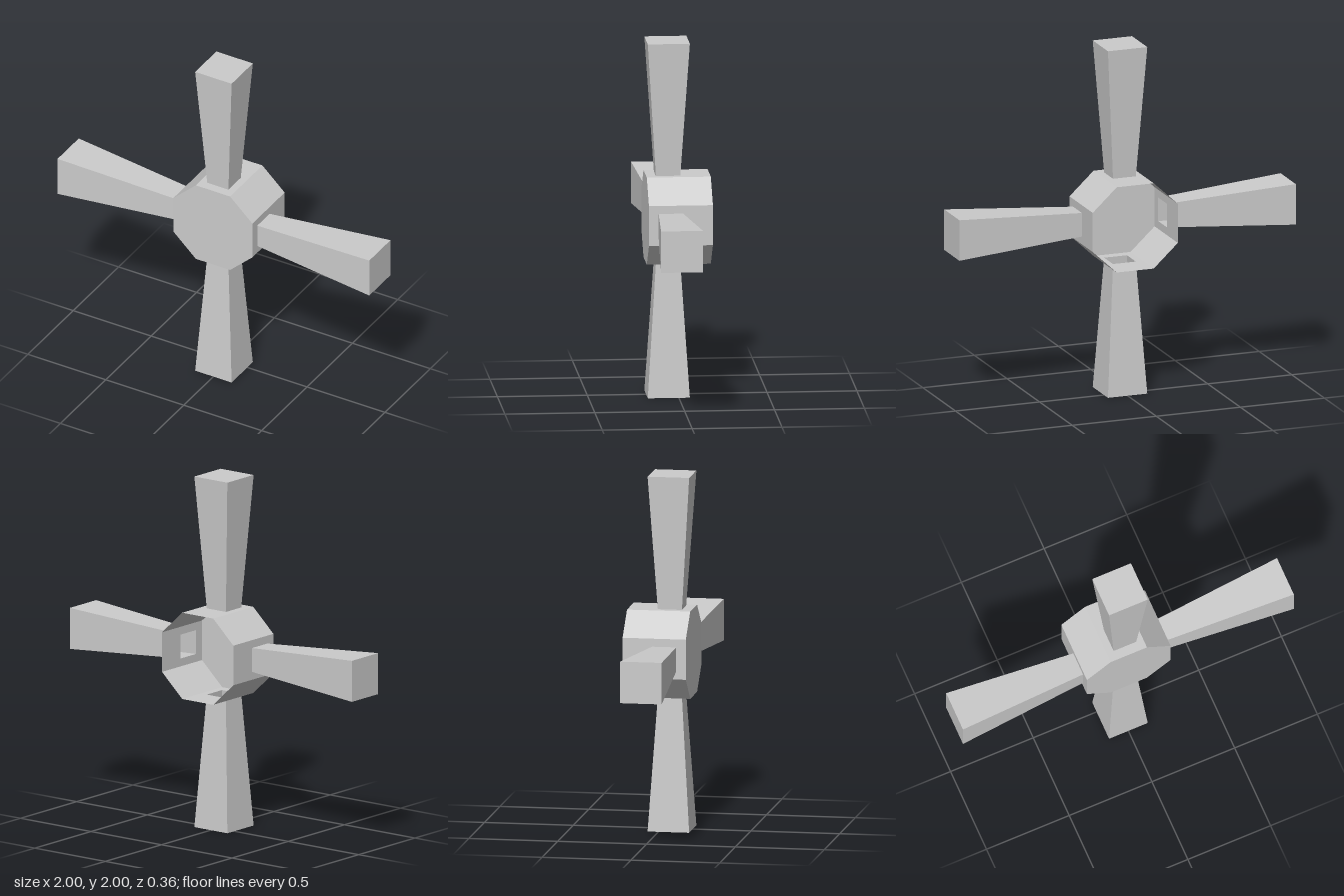
import * as THREE from 'three';

const material = new THREE.MeshStandardMaterial({ color: 0xcccccc, flatShading: true, side: THREE.DoubleSide });

const HUB_X = 0.253, HUB_Y = 0.246;           // half width and height of the hub
const FLAT_X = 0.11, FLAT_Y = 0.113;          // half lengths of its straight edges
const FRONT = 0.178, BACK = -0.178;           // depth range of the hub
const ARM_Z = 0.056, ROOT = 0.068, TIP = 0.117; // arm centre line and half sizes

function part(name, geometry) {
  const mesh = new THREE.Mesh(geometry, material);
  mesh.name = name;
  return mesh;
}

// Flat wall lying in xz, facing +y, optionally pierced by a square socket
function wallGeometry(width, pierced) {
  const w = width / 2;
  const shape = new THREE.Shape([[-w, -FRONT], [w, -FRONT], [w, -BACK], [-w, -BACK]]
    .map(([x, y]) => new THREE.Vector2(x, y)));
  if (pierced) {
    shape.holes.push(new THREE.Path([[-1, -1], [-1, 1], [1, 1], [1, -1], [-1, -1]]
      .map(([x, y]) => new THREE.Vector2(x * ROOT, y * ROOT - ARM_Z))));
  }
  return new THREE.ShapeGeometry(shape).rotateX(-Math.PI / 2);
}

// Hollow square arm along +y, flaring outwards: open root, closed tip
function createArm(start, end) {
  const arm = new THREE.Group();
  const length = end - start;
  const sides = new THREE.CylinderGeometry(TIP * Math.SQRT2, ROOT * Math.SQRT2, length, 4, 1, true, Math.PI / 4);
  sides.translate(0, start + length / 2, ARM_Z);
  const cap = new THREE.PlaneGeometry(2 * TIP, 2 * TIP).rotateX(-Math.PI / 2).translate(0, end, ARM_Z);
  arm.add(part('armSides', sides), part('armTip', cap));
  return arm;
}

export function createModel() {
  const model = new THREE.Group();
  model.name = 'crossWithHub';

  // Octagonal hub: front plate and eight walls, open at the back
  const outline = [
    [FLAT_X, HUB_Y], [-FLAT_X, HUB_Y], [-HUB_X, FLAT_Y], [-HUB_X, -FLAT_Y],
    [-FLAT_X, -HUB_Y], [FLAT_X, -HUB_Y], [HUB_X, -FLAT_Y], [HUB_X, FLAT_Y],
  ].map(([x, y]) => new THREE.Vector2(x, y));
  const hub = new THREE.Group();
  hub.name = 'hub';
  hub.add(part('hubFront', new THREE.ShapeGeometry(new THREE.Shape(outline)).translate(0, 0, FRONT)));
  outline.forEach((a, i) => {
    const b = outline[(i + 1) % 8];
    const pierced = i % 2 === 0;
    const wall = part(pierced ? 'socketWall' : 'bevelWall', wallGeometry(a.distanceTo(b), pierced));
    wall.position.set((a.x + b.x) / 2, (a.y + b.y) / 2, 0);
    wall.rotation.z = Math.atan2(a.y - b.y, a.x - b.x);
    hub.add(wall);
  });
  model.add(hub);

  // Four arms, one per socket wall
  ['topArm', 'rightArm', 'bottomArm', 'leftArm'].forEach((name, i) => {
    const arm = createArm(i % 2 ? HUB_X : HUB_Y, 1);
    arm.name = name;
    arm.rotation.z = i * Math.PI / 2;
    model.add(arm);
  });

  model.position.y = 1;
  const root = new THREE.Group();
  root.add(model);
  return root;
}
